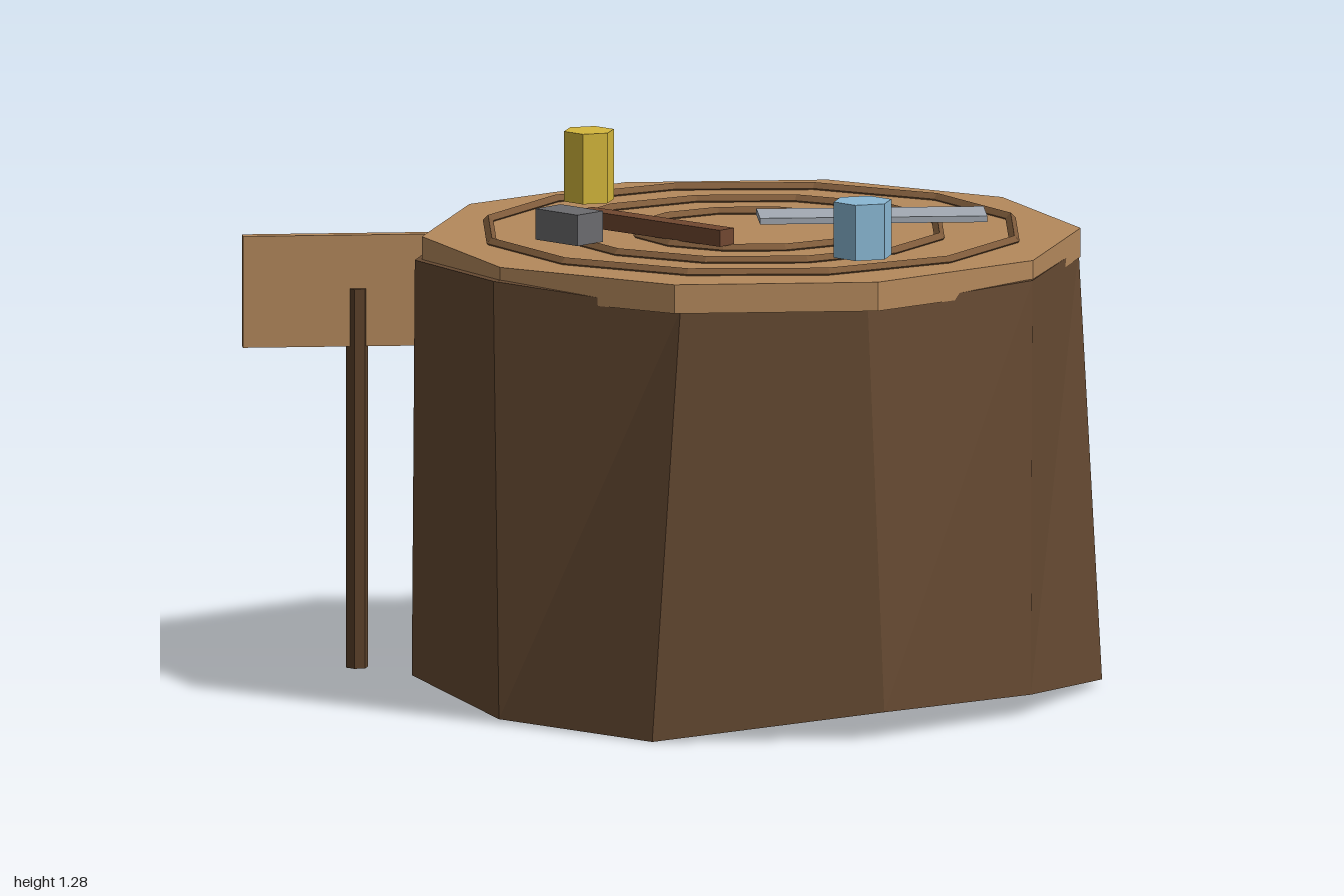
import * as THREE from 'three';

const mat = (color) => new THREE.MeshStandardMaterial({ color, flatShading: true });

const wood = mat(0xb5895c), bark = mat(0x664a32), ringWood = mat(0x7d5a3a);
const darkWood = mat(0x704730), postWood = mat(0x5a4029);
const steel = mat(0xa4abb4), iron = mat(0x6b6b6e);
const yellow = mat(0xd4b73c), blue = mat(0x8ab8d4);

// Centre of the stump
const CX = 0.19, CZ = -0.01;

function add(group, name, geometry, material, x, y, z, turn = 0) {
  const mesh = new THREE.Mesh(geometry, material);
  mesh.name = name;
  mesh.position.set(x, y, z);
  mesh.rotation.y = turn;
  group.add(mesh);
  return mesh;
}

// Closed solid between two irregular rings of corners [x, y, z]
function loft(lower, upper) {
  const n = lower.length, points = [];
  const middle = (ring) => [0, 1, 2].map((k) => ring.reduce((s, p) => s + p[k], 0) / n);
  const low = middle(lower), high = middle(upper);
  for (let i = 0; i < n; i++) {
    const j = (i + 1) % n;
    points.push(lower[i], lower[j], upper[j], lower[i], upper[j], upper[i]);
    points.push(low, lower[j], lower[i], high, upper[i], upper[j]);
  }
  const g = new THREE.BufferGeometry();
  g.setAttribute('position', new THREE.Float32BufferAttribute(points.flat(), 3));
  g.computeVertexNormals();
  return g;
}

export function createModel() {
  const model = new THREE.Group();
  model.name = 'stumpTable';

  // Rough ten-sided trunk, corners running from the front towards +x
  const foot = [
    [0.15, 0, 0.84], [0.68, 0.065, 0.67], [0.94, 0.05, 0.25], [1.0, 0.012, -0.23], [0.68, 0.058, -0.65],
    [0.2, 0.045, -0.85], [-0.27, 0.005, -0.65], [-0.585, 0.05, -0.26], [-0.58, 0.04, 0.26], [-0.27, 0.01, 0.66],
  ];
  const rim = [
    [0.2, 1.035, 0.76], [0.63, 1.035, 0.63], [0.945, 1.055, 0.255], [0.94, 1.05, -0.24], [0.655, 1.035, -0.65],
    [0.19, 1.035, -0.79], [-0.27, 1.04, -0.655], [-0.575, 1.05, -0.255], [-0.575, 1.045, 0.25], [-0.285, 1.07, 0.655],
  ];
  add(model, 'trunk', loft(foot, rim), bark, 0, 0, 0);

  // Cut top with raised growth rings
  add(model, 'tableTop', new THREE.CylinderGeometry(0.79, 0.79, 0.07, 10), wood, CX, 1.065, CZ);
  for (const radius of [0.28, 0.463, 0.647]) {
    const ring = new THREE.TorusGeometry(radius, 0.013, 4, 12).rotateX(-Math.PI / 2);
    add(model, 'growthRing', ring, ringWood, CX, 1.104, CZ);
  }

  // Sign board on its post
  const sign = new THREE.Group();
  sign.name = 'sign';
  sign.position.set(-0.735, 0, 0.175);
  add(sign, 'signBoard', new THREE.BoxGeometry(0.55, 0.27, 0.03), wood, 0, 0.955, 0, 0.315);
  add(sign, 'signPost', new THREE.CylinderGeometry(0.027, 0.027, 0.92, 6), postWood, 0, 0.5, 0);
  model.add(sign);

  // Flat metal blade
  add(model, 'blade', new THREE.BoxGeometry(0.545, 0.015, 0.143), steel, 0.465, 1.137, -0.1, 0.3);

  // Hammer
  add(model, 'hammerHandle', new THREE.BoxGeometry(0.455, 0.04, 0.05), darkWood, 0, 1.135, 0.172, -0.5);
  add(model, 'hammerHead', new THREE.BoxGeometry(0.14, 0.075, 0.088), iron, -0.183, 1.153, 0.302, -0.53);

  // Six-sided jars
  add(model, 'yellowJar', new THREE.CylinderGeometry(0.062, 0.062, 0.17, 6), yellow, -0.275, 1.2, -0.285);
  add(model, 'blueJar', new THREE.CylinderGeometry(0.072, 0.072, 0.135, 6), blue, 0.552, 1.183, 0.36);

  return model;
}
